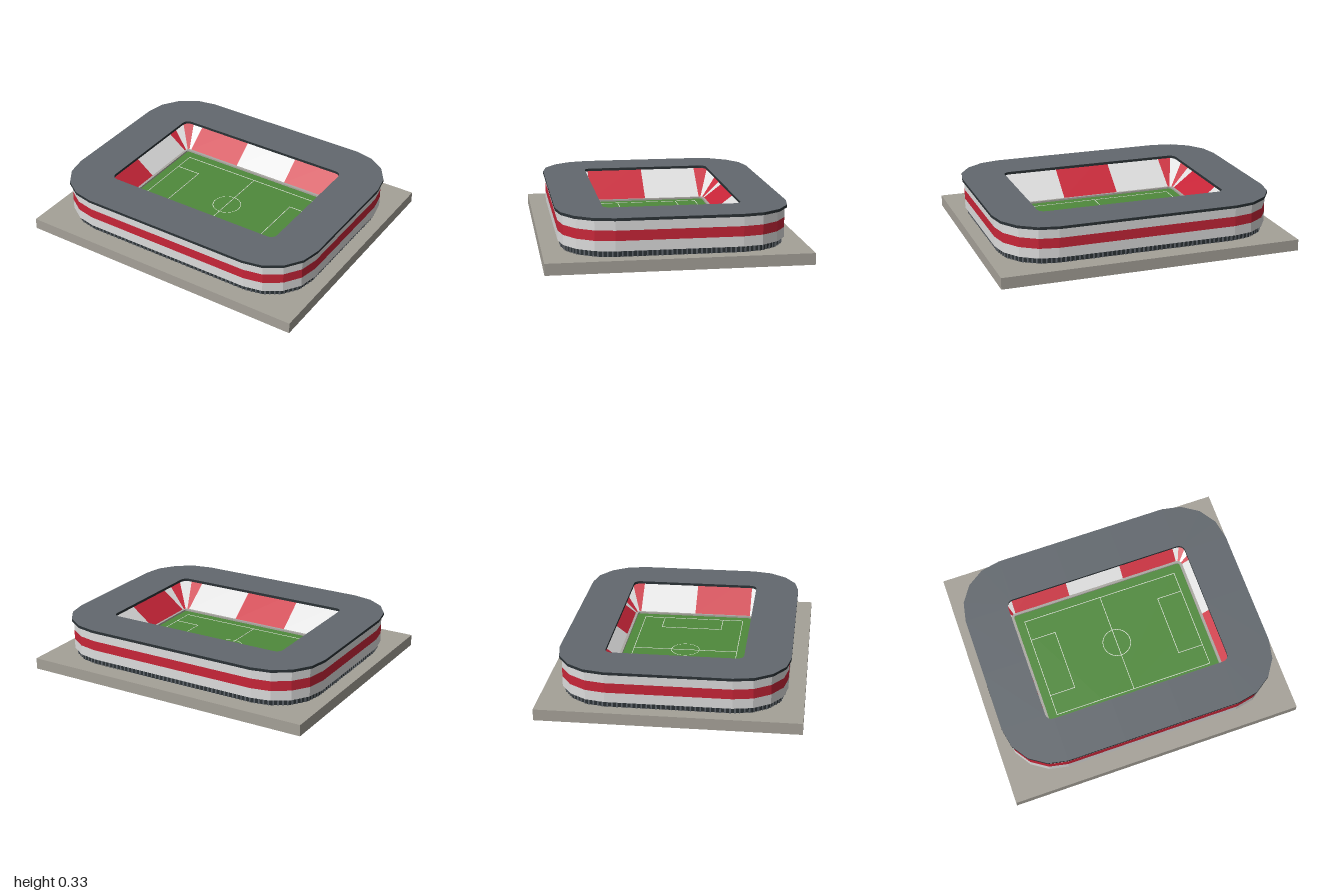
import * as THREE from 'three';
import { mergeGeometries } from 'three/addons/utils/BufferGeometryUtils.js';

const mat = (name, color, side = THREE.FrontSide) => {
  const m = new THREE.MeshStandardMaterial({ color, side, flatShading: true });
  m.name = name;
  return m;
};

// Every ring of the stadium is this rectangle grown by a radius, with corners of four facets
const HX = 0.595, HZ = 0.4, CORNER = 4;
function loop(r) {
  const pts = [];
  const signs = [[1, 1], [-1, 1], [-1, -1], [1, -1]];
  const corner = (k, j) => {
    const a = (k + j / CORNER) * Math.PI / 2;
    return new THREE.Vector2(signs[k % 4][0] * HX + r * Math.cos(a), signs[k % 4][1] * HZ + r * Math.sin(a));
  };
  for (let k = 0; k < 4; k++) {
    for (let j = 0; j <= CORNER; j++) pts.push(corner(k, j));
    const n = k % 2 === 0 ? 3 : 2; // long sides have three blocks, short sides two
    for (let s = 1; s < n; s++) pts.push(corner(k, CORNER).lerp(corner(k + 1, 0), s / n));
  }
  return pts;
}

// Faceted band between two loops; keep picks which facets are made
function band(r0, y0, r1, y1, keep = () => true) {
  const a = loop(r0), b = loop(r1), pos = [];
  a.forEach((p, i) => {
    if (!keep(i)) return;
    const j = (i + 1) % a.length;
    const A = [p.x, y0, p.y], B = [b[i].x, y1, b[i].y];
    const C = [a[j].x, y0, a[j].y], D = [b[j].x, y1, b[j].y];
    pos.push(...A, ...B, ...C, ...C, ...B, ...D);
  });
  const g = new THREE.BufferGeometry();
  g.setAttribute('position', new THREE.Float32BufferAttribute(pos, 3));
  g.computeVertexNormals();
  return g;
}

// Flat slab with an optional hole, hanging down from its top
function slab(rOut, rIn, top, height) {
  const shape = new THREE.Shape(loop(rOut));
  if (rIn) shape.holes.push(new THREE.Path(loop(rIn)));
  return new THREE.ExtrudeGeometry(shape, { depth: height, bevelEnabled: false })
    .rotateX(Math.PI / 2).translate(0, top, 0);
}

export function createModel() {
  const model = new THREE.Group();
  model.name = 'stadium';
  const paving = mat('paving', 0xa5a198, THREE.DoubleSide);
  const white = mat('white', 0xdcdcdc, THREE.DoubleSide);
  const red = mat('red', 0xc82538, THREE.DoubleSide);
  const dark = mat('dark metal', 0x2b3236);
  const roofGrey = mat('roof grey', 0x62686e);
  const kerbGrey = mat('kerb grey', 0xaaa8a2);
  const grass = mat('grass', 0x4f8a3b);
  const chalk = mat('chalk', 0xf0f2ec);

  const add = (name, geometry, material) => {
    const m = new THREE.Mesh(geometry, material);
    m.name = name;
    model.add(m);
  };

  // Base: a tray open underneath
  const base = new THREE.BoxGeometry(2, 0.075, 1.68).translate(0, 0.0375, 0);
  base.setIndex(Array.from(base.index.array).filter((_, i) => i < 18 || i >= 24));
  base.clearGroups();
  add('base', base, paving);

  // Concourse with a row of slim pillars
  add('concourse', band(0.31, 0.075, 0.31, 0.116), dark);
  const pillars = [], ring = loop(0.311);
  ring.forEach((p, i) => {
    const q = ring[(i + 1) % ring.length];
    const n = Math.max(1, Math.round(p.distanceTo(q) / 0.03));
    const angle = Math.atan2(q.y - p.y, q.x - p.x);
    for (let s = 0; s < n; s++) {
      const c = p.clone().lerp(q, (s + 0.5) / n);
      pillars.push(new THREE.BoxGeometry(0.01, 0.04, 0.008).rotateY(-angle).translate(c.x, 0.095, c.y));
    }
  });
  add('concoursePillars', mergeGeometries(pillars), roofGrey);

  // Outer wall with a stripe
  add('wallUnderside', band(0.31, 0.115, 0.33, 0.115), white);
  add('lowerWall', band(0.33, 0.115, 0.33, 0.18), white);
  add('wallStripe', band(0.33, 0.18, 0.33, 0.245), red);
  add('upperWall', band(0.33, 0.245, 0.33, 0.312), white);

  // Seating bowl in alternating blocks
  add('whiteSeats', band(0.315, 0.308, 0.035, 0.095, i => i % 2 === 0), white);
  add('redSeats', band(0.315, 0.308, 0.035, 0.095, i => i % 2 === 1), red);

  // Roof
  add('roofEdge', slab(0.345, 0.045, 0.325, 0.017), dark);
  add('roofTop', band(0.345, 0.3265, 0.045, 0.3265), roofGrey);

  // Pitch and its kerb
  add('kerb', slab(0.036, 0.018, 0.095, 0.02), kerbGrey);
  add('pitch', slab(0.019, 0, 0.083, 0.008), grass);

  // Pitch markings
  const W = 0.004, Y = 0.084;
  const lines = [];
  const line = (x0, z0, x1, z1) => lines.push(
    new THREE.BoxGeometry(Math.abs(x1 - x0) + W, 0.002, Math.abs(z1 - z0) + W)
      .translate((x0 + x1) / 2, Y, (z0 + z1) / 2));
  line(0, -0.355, 0, 0.355);
  for (const s of [-1, 1]) {
    line(s * 0.553, -0.355, s * 0.553, 0.355);
    line(s * 0.378, -0.212, s * 0.378, 0.212);
    for (const t of [-1, 1]) line(s * 0.553, t * 0.212, s * 0.378, t * 0.212);
    line(-0.553, s * 0.355, 0.553, s * 0.355);
  }
  add('pitchLines', mergeGeometries(lines), chalk);
  add('centreCircle', new THREE.RingGeometry(0.094, 0.098, 40).rotateX(-Math.PI / 2).translate(0, Y + 0.001, 0), chalk);

  return model;
}
